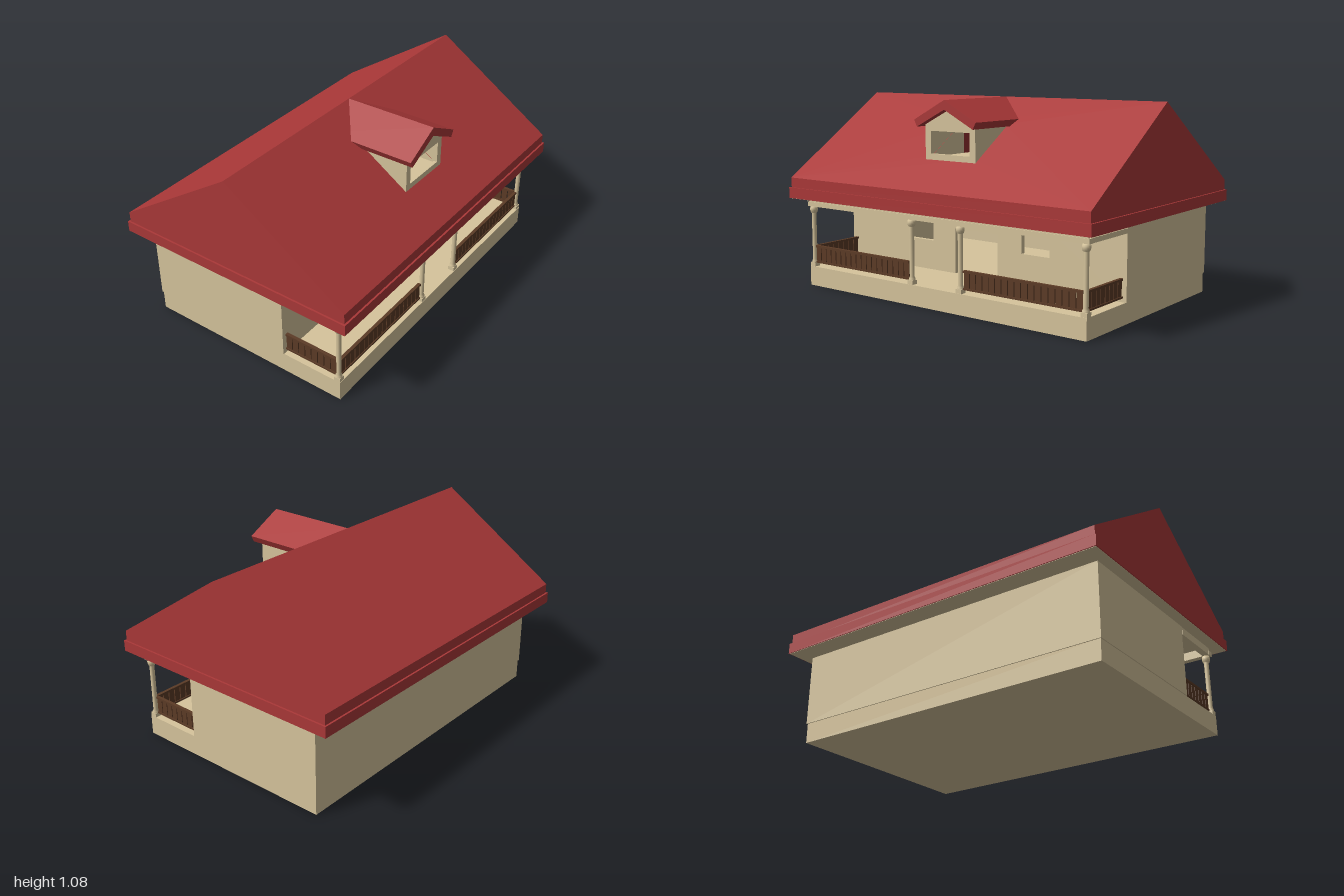
import * as THREE from 'three';

export function createModel() {
  const house = new THREE.Group();
  house.name = 'house';
  const mat = (color, side = THREE.FrontSide) => new THREE.MeshStandardMaterial({ color, side });
  const tan = mat(0xd6c49c), red = mat(0xaa3838), brown = mat(0x5c3b26);
  const redSheet = mat(0xaa3838, THREE.DoubleSide);

  const add = (name, geo, material, parent = house) => {
    const mesh = new THREE.Mesh(geo, material);
    mesh.name = name;
    parent.add(mesh);
    return mesh;
  };
  // Box given by its lower and upper limits on each axis
  const box = (name, x0, x1, y0, y1, z0, z1, material, parent) => {
    const geo = new THREE.BoxGeometry(x1 - x0, y1 - y0, z1 - z0);
    geo.translate((x0 + x1) / 2, (y0 + y1) / 2, (z0 + z1) / 2);
    return add(name, geo, material, parent);
  };
  const polygon = (pts) => new THREE.Shape(pts.map(([x, y]) => new THREE.Vector2(x, y)));
  const rect = (x0, x1, y0, y1) => polygon([[x0, y0], [x1, y0], [x1, y1], [x0, y1]]);
  const extrude = (shape, z0, z1) =>
    new THREE.ExtrudeGeometry(shape, { depth: z1 - z0, bevelEnabled: false }).translate(0, 0, z0);

  // Foundation, which is also the floor of house and porch
  box('foundation', -0.93, 0.93, 0, 0.11, -0.575, 0.62, tan);

  // Hollow body with a doorway and two windows in the front wall
  const front = polygon([
    [-0.935, 0.11], [-0.145, 0.11], [-0.145, 0.36], [0.145, 0.36],
    [0.145, 0.11], [0.935, 0.11], [0.935, 0.505], [-0.935, 0.505],
  ]);
  for (const s of [-1, 1]) front.holes.push(rect(s * 0.3925 - 0.0875, s * 0.3925 + 0.0875, 0.275, 0.42));
  add('frontWall', extrude(front, 0.245, 0.27), tan);
  box('backWall', -0.935, 0.935, 0.11, 0.505, -0.58, -0.555, tan);
  for (const s of [-1, 1]) {
    const a = s * 0.935, b = s * 0.91;
    box('sideWall', Math.min(a, b), Math.max(a, b), 0.11, 0.505, -0.555, 0.245, tan);
  }

  // Porch beams below the eaves
  box('porchFrontBeam', -0.94, 0.94, 0.455, 0.48, 0.585, 0.62, tan);
  box('porchFrontFascia', -0.93, 0.93, 0.48, 0.505, 0.59, 0.615, tan);
  for (const s of [-1, 1]) {
    const x = s * 0.92;
    box('porchSideBeam', x - 0.018, x + 0.018, 0.455, 0.48, 0.27, 0.585, tan);
    box('porchSideFascia', x - 0.012, x + 0.012, 0.48, 0.505, 0.27, 0.59, tan);
  }

  // Turned porch posts with a square foot
  const profile = [
    [0.018, 0.13], [0.018, 0.14], [0.013, 0.15], [0.013, 0.415], [0.018, 0.42],
    [0.022, 0.432], [0.022, 0.442], [0.018, 0.455], [0, 0.455],
  ].map(([r, y]) => new THREE.Vector2(r, y));
  for (const x of [-0.912, -0.165, 0.165, 0.912]) {
    const post = new THREE.Group();
    post.name = 'porchPost';
    add('postShaft', new THREE.LatheGeometry(profile, 14), tan, post);
    box('postFoot', -0.018, 0.018, 0.11, 0.132, -0.018, 0.018, tan, post);
    post.position.set(x, 0, 0.6);
    house.add(post);
  }

  // Railing along local x: top and bottom rail with closely set slats
  const railing = (name, length) => {
    const g = new THREE.Group();
    g.name = name;
    const h = length / 2, n = Math.round(length / 0.04), pitch = length / n;
    box('topRail', -h, h, 0.218, 0.23, -0.009, 0.009, brown, g);
    box('bottomRail', -h, h, 0.13, 0.14, -0.009, 0.009, brown, g);
    for (let i = 0; i < n; i++) {
      const x = -h + (i + 0.5) * pitch;
      box('slat', x - 0.017, x + 0.017, 0.14, 0.218, -0.004, 0.004, brown, g);
    }
    house.add(g);
    return g;
  };
  for (const s of [-1, 1]) {
    railing('frontRailing', 0.715).position.set(s * 0.5415, 0, 0.597);
    const side = railing('sideRailing', 0.315);
    side.rotation.y = Math.PI / 2;
    side.position.set(s * 0.905, 0, 0.4275);
  }

  // Ceiling and stepped eaves
  box('ceiling', -0.995, 0.995, 0.503, 0.51, -0.695, 0.695, tan);
  box('lowerEave', -1, 1, 0.505, 0.565, -0.7, 0.7, red);
  box('upperEave', -0.99, 0.99, 0.565, 0.62, -0.69, 0.69, red);

  // Gable roof: two slopes, the front one open behind the dormer, and two ends
  const run = 0.69, rise = 0.455, eaveY = 0.62;
  const slant = Math.hypot(run, rise), tilt = Math.atan2(run, rise);
  const along = (y) => ((y - eaveY) / rise) * slant;
  for (const s of [1, -1]) {
    const shape = rect(-0.99, 0.99, 0, slant);
    if (s === 1) shape.holes.push(rect(-0.145, 0.145, along(0.775), along(0.94)));
    const geo = new THREE.ShapeGeometry(shape).rotateX(-tilt).translate(0, eaveY, run);
    if (s === -1) geo.rotateY(Math.PI);
    add(s === 1 ? 'frontRoofSlope' : 'backRoofSlope', geo, redSheet);
    const end = new THREE.ShapeGeometry(polygon([[-run, eaveY], [run, eaveY], [0, eaveY + rise]]));
    add('gableEnd', end.rotateY(s * Math.PI / 2).translate(s * 0.99, 0, 0), redSheet);
  }

  // Dormer with an open window
  const dormer = new THREE.Group();
  dormer.name = 'dormer';
  house.add(dormer);
  const face = polygon([[-0.167, 0.758], [0.167, 0.758], [0.167, 0.95], [0, 1.035], [-0.167, 0.95]]);
  face.holes.push(rect(-0.13, 0.13, 0.79, 0.91));
  add('dormerFront', extrude(face, 0.46, 0.48), tan, dormer);
  for (const s of [-1, 1]) {
    box('dormerSide', s * 0.157 - 0.01, s * 0.157 + 0.01, 0.758, 0.95, 0.19, 0.46, tan, dormer);
  }
  box('dormerFloor', -0.147, 0.147, 0.758, 0.77, -0.4, 0.46, tan, dormer);
  const chevron = polygon([
    [-0.205, 0.968], [-0.187, 0.932], [0, 1.026], [0.187, 0.932], [0.205, 0.968], [0, 1.075],
  ]);
  add('dormerRoof', extrude(chevron, 0, 0.525), red, dormer);

  return house;
}
